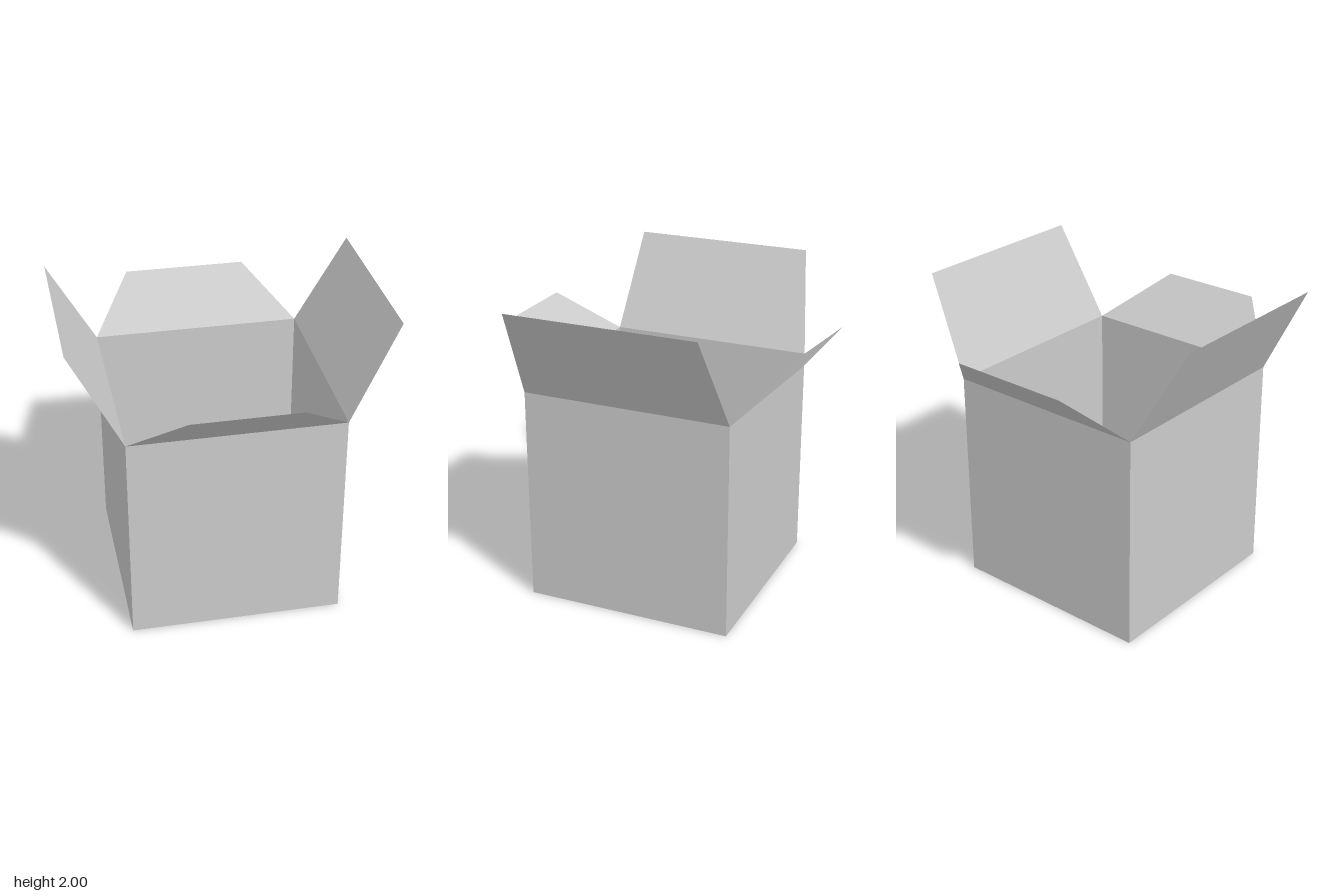
import * as THREE from 'three';

const HALF = 0.672; // half width of the square box
const RIM = 1.396; // height of the walls

const cardboard = new THREE.MeshStandardMaterial({
  color: 0xcccccc,
  flatShading: true,
  side: THREE.DoubleSide,
});

// Thin four-cornered sheet; corners run counter-clockwise seen from its front
function sheet(name, corners) {
  const geometry = new THREE.BufferGeometry();
  const order = [0, 1, 2, 0, 2, 3];
  geometry.setAttribute('position', new THREE.Float32BufferAttribute(order.flatMap((i) => corners[i]), 3));
  geometry.computeVertexNormals();
  const mesh = new THREE.Mesh(geometry, cardboard);
  mesh.name = name;
  return mesh;
}

// Each side is drawn facing +z and turned into place.
// from, to: ends of the flap's outer edge; out: its reach; top: its height
const sides = [
  { name: 'front', turn: 0, from: -0.35, to: 0.32, out: 0.985, top: 1.7 },
  { name: 'left', turn: 1, from: -0.615, to: 0.597, out: 0.985, top: 2 },
  { name: 'back', turn: 2, from: -0.37, to: 0.42, out: 0.99, top: 1.7 },
  { name: 'right', turn: 3, from: -0.55, to: 0.628, out: 0.99, top: 2 },
];

export function createModel() {
  const box = new THREE.Group();
  box.name = 'openBox';

  // Floor, facing down
  box.add(sheet('floor', [
    [-HALF, 0, -HALF], [HALF, 0, -HALF], [HALF, 0, HALF], [-HALF, 0, HALF],
  ]));

  // Walls, each with a flap folded outwards from its rim
  for (const { name, turn, from, to, out, top } of sides) {
    const side = new THREE.Group();
    side.name = `${name}Side`;
    side.add(
      sheet(`${name}Wall`, [
        [-HALF, 0, HALF], [HALF, 0, HALF], [HALF, RIM, HALF], [-HALF, RIM, HALF],
      ]),
      sheet(`${name}Flap`, [
        [-HALF, RIM, HALF], [HALF, RIM, HALF], [to, top, out], [from, top, out],
      ]),
    );
    side.rotation.y = (turn * Math.PI) / 2;
    box.add(side);
  }
  return box;
}
